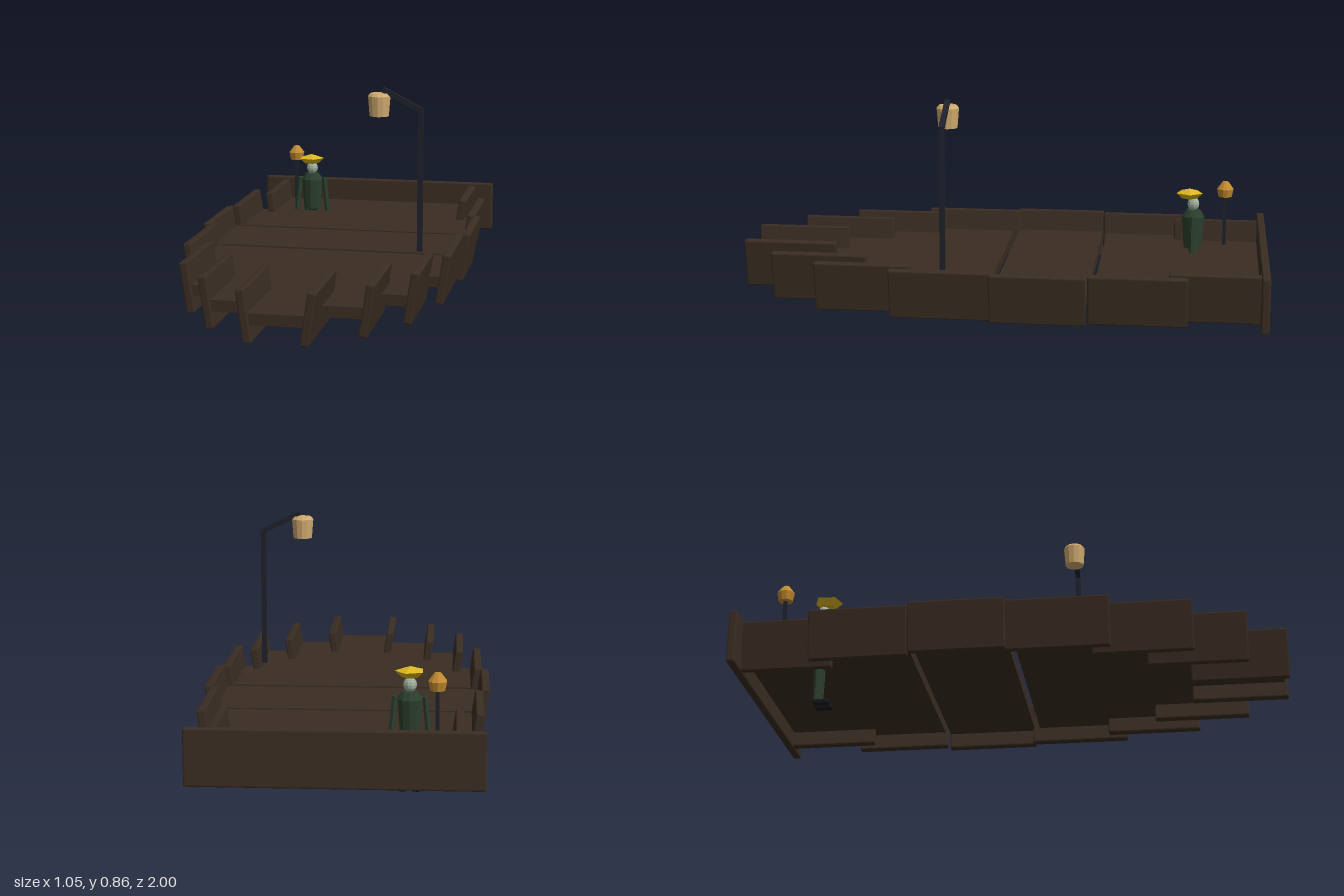
import * as THREE from 'three';
import { RoundedBoxGeometry } from 'three/addons/geometries/RoundedBoxGeometry.js';

const mat = (name, color) => {
  const m = new THREE.MeshStandardMaterial({ color, flatShading: true });
  m.name = name;
  return m;
};

export function createModel() {
  const wood = mat('dark wood', 0x3a2d22);
  const iron = mat('dark iron', 0x1f212a);
  const cloth = mat('green cloth', 0x2b3f2e);
  const skin = mat('pale skin', 0x9fb09c);
  const straw = mat('yellow hat', 0xdcb71f);
  const paper = mat('tan lantern', 0xd0ab70);
  const amber = mat('amber lantern', 0xc38a30);
  const leather = mat('black shoe', 0x17171a);

  const model = new THREE.Group();
  model.name = 'raft';

  const add = (name, geo, material, x, y, z, parent = model) => {
    const mesh = new THREE.Mesh(geo, material);
    mesh.name = name;
    mesh.position.set(x, y, z);
    parent.add(mesh);
    return mesh;
  };
  const lathe = (points, sides) =>
    new THREE.LatheGeometry(points.map(([r, y]) => new THREE.Vector2(r, y)), sides);
  // Square or round bar between two points
  const bar = (name, a, b, r0, r1, sides, material, parent = model) => {
    const from = new THREE.Vector3(...a), to = new THREE.Vector3(...b);
    const dir = to.clone().sub(from);
    const mid = from.add(to).multiplyScalar(0.5);
    const mesh = add(name, new THREE.CylinderGeometry(r1, r0, dir.length(), sides), material, mid.x, mid.y, mid.z, parent);
    mesh.quaternion.setFromUnitVectors(new THREE.Vector3(0, 1, 0), dir.normalize());
    return mesh;
  };

  // Hull: [side plank x, plank z start, plank z end, floor half width, floor z start, floor z end]
  const sections = [
    [0.402, -0.98, -0.64, 0.40, -0.98, -0.70],
    [0.472, -0.71, -0.352, 0.47, -0.70, -0.364],
    [0.497, -0.347, 0.002, 0.495, -0.346, -0.002],
    [0.472, -0.008, 0.37, 0.47, 0.02, 0.358],
    [0.402, 0.30, 0.66, 0.40, 0.358, 0.648],
    [0.280, 0.49, 0.85, 0.277, 0.648, 0.84],
    [0.110, 0.64, 0.998, 0.11, 0.84, 0.985],
  ];
  sections.forEach(([px, z0, z1, half, f0, f1]) => {
    for (const s of [-1, 1]) {
      const plank = add('sidePlank', new RoundedBoxGeometry(0.03, 0.186, z1 - z0, 1, 0.005), wood, s * px, 0.183, (z0 + z1) / 2);
      plank.rotation.z = -s * 0.148;
    }
    add('floorBoard', new THREE.BoxGeometry(half * 2, 0.04, f1 - f0), wood, 0, 0.173, (f0 + f1) / 2);
  });
  add('sternBoard', new RoundedBoxGeometry(1.008, 0.202, 0.03, 1, 0.006), wood, 0, 0.186, -0.985);

  // Tall lamp post with an angled arm and hanging lantern
  const lamp = new THREE.Group();
  lamp.name = 'lampPost';
  model.add(lamp);
  add('post', new THREE.BoxGeometry(0.019, 0.53, 0.019), iron, 0.36, 0.51, 0.19, lamp);
  const arm = add('arm', new THREE.BoxGeometry(0.166, 0.019, 0.019), iron, 0.29, 0.809, 0.19, lamp);
  arm.rotation.z = -0.477;
  add('hangingLantern', lathe([[0, 0.748], [0.036, 0.748], [0.042, 0.822], [0.034, 0.832], [0, 0.832]], 12), paper, 0.205, 0, 0.19, lamp);

  // Short stern lantern
  const stern = new THREE.Group();
  stern.name = 'sternLantern';
  model.add(stern);
  add('post', new THREE.BoxGeometry(0.013, 0.2, 0.013), iron, -0.338, 0.293, -0.84, stern);
  add('lantern', lathe([[0, 0.39], [0.026, 0.39], [0.033, 0.422], [0.012, 0.45], [0, 0.45]], 10), amber, -0.338, 0, -0.84, stern);

  // Standing boatman
  const man = new THREE.Group();
  man.name = 'boatman';
  man.position.set(-0.242, 0, -0.716);
  model.add(man);
  add('torso', lathe([[0, 0.19], [0.035, 0.205], [0.044, 0.33], [0.028, 0.355], [0, 0.358]], 10), cloth, 0, 0, 0, man);
  const head = add('head', new THREE.SphereGeometry(0.024, 10, 8), skin, 0, 0.379, 0, man);
  head.scale.y = 1.1;
  const hat = add('hat', lathe([[0, 0.402], [0.03, 0.402], [0.054, 0.424], [0, 0.44]], 5), straw, 0, 0, 0.016, man);
  hat.rotation.y = 0.35;
  for (const s of [-1, 1]) {
    bar('arm', [s * 0.052, 0.338, 0], [s * 0.066, 0.195, 0], 0.011, 0.011, 6, cloth, man);
    bar('leg', [s * 0.023, 0.018, -0.006], [s * 0.02, 0.21, -0.004], 0.014, 0.018, 7, cloth, man);
    add('shoe', new RoundedBoxGeometry(0.03, 0.02, 0.062, 1, 0.007), leather, s * 0.024, 0.01, 0.012, man);
  }
  return model;
}
